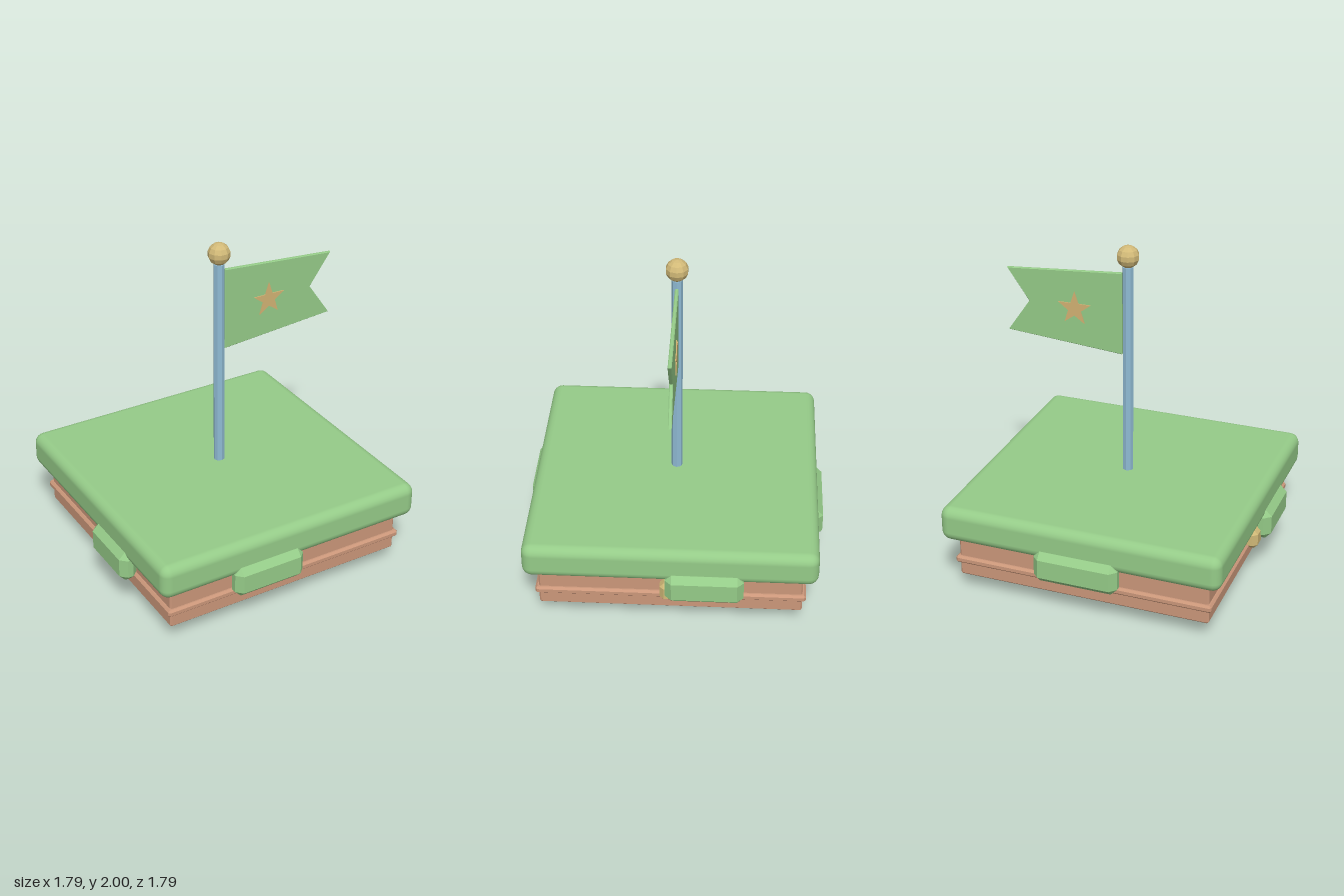
import * as THREE from 'three';
import { RoundedBoxGeometry } from 'three/addons/geometries/RoundedBoxGeometry.js';
import { ConvexGeometry } from 'three/addons/geometries/ConvexGeometry.js';

const mat = (name, color, flatShading = false) => {
  const m = new THREE.MeshStandardMaterial({ color, flatShading });
  m.name = name;
  return m;
};

// Box with every edge and corner cut off by c
function chamferBox(w, h, d, c) {
  const pts = [];
  for (const sx of [-1, 1]) for (const sy of [-1, 1]) for (const sz of [-1, 1]) {
    const [x, y, z] = [w / 2, h / 2, d / 2];
    pts.push(
      new THREE.Vector3(sx * x, sy * (y - c), sz * (z - c)),
      new THREE.Vector3(sx * (x - c), sy * y, sz * (z - c)),
      new THREE.Vector3(sx * (x - c), sy * (y - c), sz * z));
  }
  return new ConvexGeometry(pts);
}

function starShape(cx, cy, outer, inner) {
  const pts = [];
  for (let i = 0; i < 10; i++) {
    const a = Math.PI / 2 + i * Math.PI / 5, r = i % 2 ? inner : outer;
    pts.push(new THREE.Vector2(cx + r * Math.cos(a), cy + r * Math.sin(a)));
  }
  return new THREE.Shape(pts);
}

export function createModel() {
  const model = new THREE.Group();
  model.name = 'flagIsland';
  const grass = mat('grassGreen', 0x95cb88);
  const earth = mat('earthBrown', 0xcb977a, true);
  const gold = mat('gold', 0xd2ba78, true);
  const blue = mat('poleBlue', 0x8fbad3, true);
  const starGold = mat('starGold', 0xd2b273);

  const add = (name, geo, material, x = 0, y = 0, z = 0, parent = model) => {
    const m = new THREE.Mesh(geo, material);
    m.name = name;
    m.position.set(x, y, z);
    parent.add(m);
    return m;
  };

  // Grass slab on an earth block with a raised band
  add('grassSlab', new RoundedBoxGeometry(1.71, 0.215, 1.71, 3, 0.06), grass, 0, 0.4665, 0);
  add('earthBlock', chamferBox(1.54, 0.29, 1.54, 0.01), earth, 0, 0.249, 0);
  add('earthBand', chamferBox(1.58, 0.045, 1.58, 0.012), earth, 0, 0.211, 0);

  // Eight-sided foot with flats facing the axes, and a square base plate
  const k = 1 / Math.cos(Math.PI / 8);
  const foot = add('earthFoot', new THREE.CylinderGeometry(0.57 * k, 0.29 * k, 0.106, 8), earth, 0, 0.057, 0);
  foot.rotation.y = Math.PI / 8;
  add('basePlate', new THREE.BoxGeometry(0.57, 0.03, 0.57), earth, 0, 0.015, 0);

  // One grass drip and one gold stud per side: turn, sideways offset, length
  const sides = [
    ['front', 0, -0.173, 0.455],
    ['left', Math.PI / 2, 0.2, 0.455],
    ['back', Math.PI, 0, 0.51],
    ['right', -Math.PI / 2, 0.225, 0.41],
  ];
  for (const [name, turn, offset, length] of sides) {
    const side = new THREE.Group();
    side.name = name + 'Side';
    side.rotation.y = turn;
    model.add(side);
    add('grassDrip', chamferBox(length, 0.19, 0.11, 0.038), grass, offset, 0.325, 0.84, side);
    add('goldStud', chamferBox(0.12, 0.12, 0.12, 0.025), gold, 0, 0.262, 0.78, side);
  }

  // Pole and finial
  add('pole', new THREE.CylinderGeometry(0.033, 0.033, 1.32, 8), blue, 0, 1.21, 0);
  add('finial', new THREE.SphereGeometry(0.067, 10, 7), gold, 0, 1.933, 0);

  // Swallow-tailed flag
  const outline = [[0.04, 1.825], [0.04, 1.328], [0.754, 1.383], [0.615, 1.58], [0.754, 1.772]];
  const flagShape = new THREE.Shape(outline.map(([x, y]) => new THREE.Vector2(x, y)));
  add('flag', new THREE.ExtrudeGeometry(flagShape, {
    depth: 0.012, bevelEnabled: true, bevelThickness: 0.005, bevelSize: 0.005, bevelSegments: 1,
  }), grass, 0, 0, -0.006);

  // Thin star on each face of the flag
  const starGeo = new THREE.ExtrudeGeometry(starShape(0.33, 1.572, 0.107, 0.042), { depth: 0.007, bevelEnabled: false });
  add('frontStar', starGeo, starGold, 0, 0, 0.0105);
  add('backStar', starGeo, starGold, 0, 0, -0.0175);

  return model;
}
